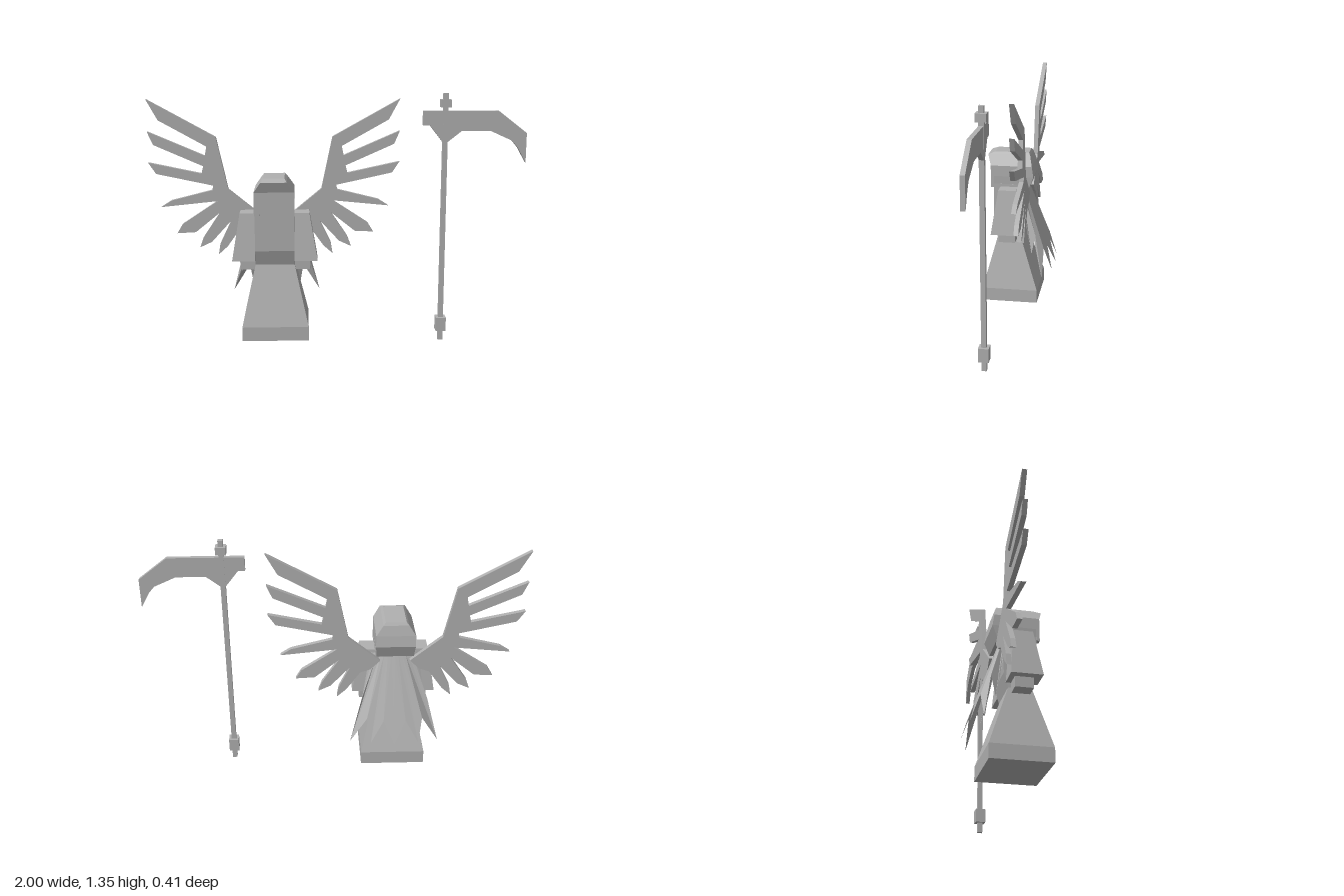
import * as THREE from 'three';

const grey = new THREE.MeshStandardMaterial({ color: 0xb0b0b0 });
grey.name = 'stone grey';
const greySheet = new THREE.MeshStandardMaterial({ color: 0xb0b0b0, side: THREE.DoubleSide });
greySheet.name = 'stone grey sheet';

function add(parent, name, geometry, material = grey) {
  const mesh = new THREE.Mesh(geometry, material);
  mesh.name = name;
  parent.add(mesh);
  return mesh;
}

function fromTriangles(positions) {
  const g = new THREE.BufferGeometry();
  g.setAttribute('position', new THREE.Float32BufferAttribute(positions, 3));
  g.computeVertexNormals(); // non-indexed, so every face is flat
  return g;
}

// Closed solid through rectangular levels [y, x0, x1, z0, z1], bottom to top
function loft(levels) {
  const rings = levels.map(([y, x0, x1, z0, z1]) =>
    [[x0, y, z0], [x0, y, z1], [x1, y, z1], [x1, y, z0]]);
  const out = [];
  const quad = (a, b, c, d) => out.push(...a, ...b, ...c, ...a, ...c, ...d);
  for (let k = 0; k < rings.length - 1; k++) {
    const lo = rings[k], hi = rings[k + 1];
    for (let i = 0; i < 4; i++) {
      const j = (i + 1) % 4;
      quad(lo[i], lo[j], hi[j], hi[i]);
    }
  }
  const bottom = rings[0], top = rings[rings.length - 1];
  quad(top[0], top[1], top[2], top[3]);
  quad(bottom[3], bottom[2], bottom[1], bottom[0]);
  return fromTriangles(out);
}

// Flat outline in x, y with thickness from z0 to z1
function plate(points, z0, z1) {
  const shape = new THREE.Shape(points.map(([x, y]) => new THREE.Vector2(x, y)));
  return new THREE.ExtrudeGeometry(shape, { depth: z1 - z0, bevelEnabled: false }).translate(0, 0, z0);
}

// Half outline of the wing: arm, then seven feathers from top to bottom
const wingOutline = [
  [0.08, 0.69], [0.25, 0.83], [0.31, 1.11],
  [0.67, 1.31], [0.61, 1.20], [0.36, 1.06], [0.37, 1.01],
  [0.67, 1.14], [0.64, 1.07], [0.38, 0.955], [0.39, 0.915],
  [0.67, 0.975], [0.63, 0.915], [0.33, 0.85], [0.335, 0.825],
  [0.555, 0.77], [0.61, 0.735], [0.31, 0.765],
  [0.50, 0.64], [0.53, 0.59], [0.43, 0.595], [0.30, 0.70],
  [0.39, 0.565], [0.41, 0.51], [0.345, 0.54], [0.24, 0.655],
  [0.30, 0.53], [0.31, 0.47], [0.26, 0.515], [0.185, 0.62], [0.13, 0.64],
];

// Ragged lower edge of the cape, from its side to its middle
const capeEdge = [
  [0.16, 0.49, -0.05], [0.19, 0.36, -0.08], [0.18, 0.47, -0.10],
  [0.24, 0.235, -0.145], [0.15, 0.38, -0.145], [0.13, 0.25, -0.19],
  [0.06, 0.37, -0.155], [0, 0.245, -0.2],
];

function capeGeometry() {
  const mirrored = capeEdge.slice(0, -1).reverse().map(([x, y, z]) => [-x, y, z]);
  const low = [...capeEdge, ...mirrored];
  const n = low.length - 1;
  const high = low.map((p, i) => {
    const u = 1 - 2 * i / n;
    return [0.13 * u, 0.72, -0.03 + 0.02 * u * u];
  });
  const out = [];
  for (let i = 0; i < n; i++) {
    out.push(...high[i], ...high[i + 1], ...low[i + 1], ...high[i], ...low[i + 1], ...low[i]);
  }
  return fromTriangles(out);
}

function createFigure() {
  const figure = new THREE.Group();
  figure.name = 'wingedFigure';

  add(figure, 'skirt', loft([
    [0.055, -0.175, 0.175, -0.11, 0.205],
    [0.13, -0.175, 0.175, -0.11, 0.205],
    [0.45, -0.103, 0.103, 0, 0.12],
  ]));
  add(figure, 'torso', loft([
    [0.45, -0.103, 0.103, 0, 0.12],
    [0.53, -0.103, 0.103, -0.02, 0.148],
    [0.74, -0.103, 0.103, -0.03, 0.148],
  ]));

  // Hood with a forward brim and a frame around the recessed face
  add(figure, 'hood', loft([
    [0.715, -0.1, 0.1, -0.05, 0.148],
    [0.785, -0.105, 0.105, -0.076, 0.148],
    [0.845, -0.105, 0.105, -0.067, 0.148],
    [0.845, -0.105, 0.105, -0.067, 0.165],
    [0.9, -0.068, 0.068, -0.053, 0.185],
    [0.915, -0.055, 0.055, -0.045, 0.145],
  ]));
  add(figure, 'hoodFrame', plate([
    [-0.105, 0.72], [-0.075, 0.72], [-0.075, 0.80], [-0.058, 0.83], [-0.03, 0.815],
    [0, 0.83], [0.045, 0.81], [0.07, 0.825], [0.08, 0.805], [0.08, 0.72],
    [0.105, 0.72], [0.105, 0.845], [-0.105, 0.845],
  ], 0.147, 0.165));

  for (const s of [1, -1]) {
    const side = s > 0 ? 'left' : 'right';
    const span = (a, b) => (s > 0 ? [a, b] : [-b, -a]);
    add(figure, side + 'Sleeve', loft([
      [0.475, ...span(0.104, 0.225), -0.012, 0.147],
      [0.725, ...span(0.104, 0.183), 0.01, 0.11],
    ]));
    add(figure, side + 'Hand', loft([
      [0.42, ...span(0.104, 0.185), 0.015, 0.108],
      [0.48, ...span(0.104, 0.185), 0.015, 0.108],
    ]));
    add(figure, side + 'Wing', plate(wingOutline.map(([x, y]) => [s * x, y]), -0.055, -0.03));
  }

  add(figure, 'featherCape', capeGeometry(), greySheet);
  return figure;
}

function createScythe() {
  const scythe = new THREE.Group();
  scythe.name = 'scythe';
  const bar = (name, w, y0, y1) =>
    add(scythe, name, new THREE.BoxGeometry(w, y1 - y0, w).translate(0.57, (y0 + y1) / 2, 0.06));
  bar('pole', 0.026, 0, 1.345);
  bar('lowerCollar', 0.054, 0.055, 0.13);
  bar('upperCollar', 0.054, 1.272, 1.312);
  add(scythe, 'blade', plate([
    [0.452, 1.253], [0.848, 1.253], [1, 1.136], [1, 0.98], [0.955, 1.06], [0.925, 1.095],
    [0.81, 1.147], [0.655, 1.147], [0.585, 1.092], [0.555, 1.092], [0.488, 1.178], [0.452, 1.178],
  ], 0.0485, 0.0715));
  return scythe;
}

export function createModel() {
  const model = new THREE.Group();
  model.name = 'wingedStatue';
  const figure = createFigure();
  figure.position.x = -0.327;
  model.add(figure, createScythe());
  return model;
}
